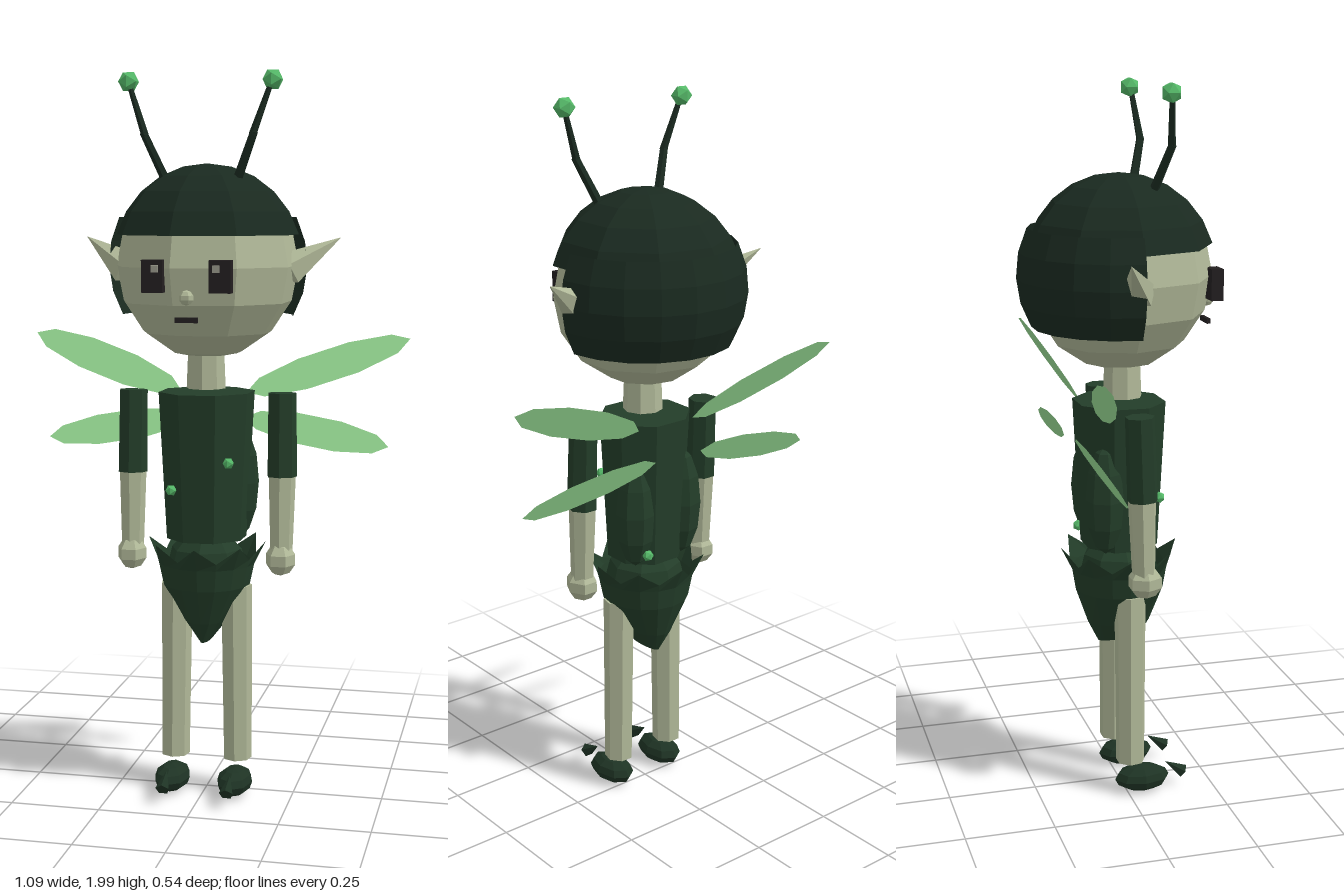
import * as THREE from 'three';

const mat = (name, color, side = THREE.FrontSide) => {
  const m = new THREE.MeshStandardMaterial({ color, flatShading: true, side });
  m.name = name;
  return m;
};

export function createModel() {
  const root = new THREE.Group();
  root.name = 'fairy';
  const skin = mat('paleSkin', 0xb0b898);
  const hair = mat('darkHair', 0x1a2a20, THREE.DoubleSide);
  const leaf = mat('leafGreen', 0x233d29, THREE.DoubleSide);
  const shoe = mat('shoeGreen', 0x1e3324);
  const wing = mat('wingGreen', 0x98dc94, THREE.DoubleSide);
  const bead = mat('beadGreen', 0x55b868);
  const eye = mat('eyeBlack', 0x231f20);
  const glint = mat('eyeGlint', 0x9a9a8c);

  const add = (name, geo, material, x = 0, y = 0, z = 0) => {
    const m = new THREE.Mesh(geo, material);
    m.name = name;
    m.position.set(x, y, z);
    root.add(m);
    return m;
  };
  // Tapered rod from point a to point b
  const rod = (name, a, b, ra, rb, sides, material) => {
    const p = new THREE.Vector3(...a), q = new THREE.Vector3(...b);
    const d = q.clone().sub(p);
    const m = add(name, new THREE.CylinderGeometry(rb, ra, d.length(), sides), material);
    m.position.copy(p).add(q).multiplyScalar(0.5);
    m.quaternion.setFromUnitVectors(new THREE.Vector3(0, 1, 0), d.normalize());
    return m;
  };
  const blob = (name, material, x, y, z, rx, ry, rz, w = 7, h = 5) => {
    const m = add(name, new THREE.SphereGeometry(1, w, h), material, x, y, z);
    m.scale.set(rx, ry, rz);
    return m;
  };

  // Head, hair cap and back hair shell
  add('head', new THREE.SphereGeometry(0.255, 9, 8), skin, 0, 1.485, 0);
  add('hairCap', new THREE.SphereGeometry(0.265, 9, 5, 0, Math.PI * 2, 0, Math.PI * 0.41), hair, 0, 1.495, 0);
  add('backHair', new THREE.SphereGeometry(0.277, 9, 4, Math.PI, Math.PI, Math.PI * 0.35, Math.PI * 0.32), hair, 0, 1.49, 0);
  add('nose', new THREE.SphereGeometry(0.02, 6, 5), skin, 0, 1.41, 0.25);
  add('mouth', new THREE.BoxGeometry(0.06, 0.014, 0.01), eye, 0, 1.352, 0.248);
  rod('neck', [0, 1.15, 0.01], [0, 1.27, 0.01], 0.055, 0.05, 8, skin);

  // Torso with leafy side lobes
  const torso = add('torso', new THREE.CylinderGeometry(0.135, 0.113, 0.41, 8), leaf, 0, 0.935, 0);
  torso.rotation.y = Math.PI / 8;
  torso.scale.z = 0.93;

  // Petal skirt: rings of [y, x radius, z radius], the top one zigzagging
  const rings = [[0.44, 0.015, 0.06], [0.5, 0.062, 0.09], [0.6, 0.122, 0.125], [0.66, 0.135, 0.135], [0.725, 0.167, 0.167]];
  const n = 16, pos = [], idx = [];
  rings.forEach(([y, rx, rz], r) => {
    for (let i = 0; i < n; i++) {
      const a = (i / n) * Math.PI * 2, valley = r === 4 && i % 2;
      const k = valley ? 0.84 : 1;
      pos.push(Math.sin(a) * rx * k, valley ? 0.68 : y, Math.cos(a) * rz * k);
      if (r < 4) {
        const p = r * n + i, q = r * n + (i + 1) % n;
        idx.push(p, q, q + n, p, q + n, p + n);
      }
    }
  });
  for (let i = 1; i < n - 1; i++) idx.push(0, i + 1, i);
  const skirt = new THREE.BufferGeometry();
  skirt.setAttribute('position', new THREE.Float32BufferAttribute(pos, 3));
  skirt.setIndex(idx);
  skirt.computeVertexNormals();
  add('petalSkirt', skirt, leaf);
  blob('hips', leaf, 0, 0.64, 0, 0.115, 0.12, 0.115, 8, 6);

  // Beads on the costume
  for (const [x, y, z] of [[-0.08, 0.875, 0.095], [0.08, 0.955, 0.095], [0.07, 0.765, -0.1]])
    add('costumeBead', new THREE.IcosahedronGeometry(0.016, 0), bead, x, y, z);

  for (const s of [1, -1]) {
    // Face
    add('eye', new THREE.BoxGeometry(0.057, 0.085, 0.034), eye, s * 0.09, 1.465, 0.242);
    add('eyeGlint', new THREE.BoxGeometry(0.018, 0.018, 0.008), glint, s * 0.081, 1.485, 0.263);
    const ear = rod('ear', [s * 0.225, 1.475, -0.005], [s * 0.357, 1.56, -0.065], 0.05, 0.001, 5, skin);
    ear.scale.z = 0.85;

    // Antenna
    rod('antennaBase', [s * 0.1, 1.72, 0.068], [s * 0.15, 1.84, 0.103], 0.013, 0.011, 5, hair);
    rod('antennaStalk', [s * 0.145, 1.83, 0.102], [s * 0.195, 1.975, 0.087], 0.011, 0.007, 5, hair);
    add('antennaBead', new THREE.IcosahedronGeometry(0.029, 0), bead, s * 0.195, 1.973, 0.085);

    // Arm
    rod('sleeve', [s * 0.212, 0.91, 0.008], [s * 0.21, 1.14, 0], 0.042, 0.04, 7, leaf);
    rod('forearm', [s * 0.212, 0.7, 0.012], [s * 0.212, 0.92, 0.006], 0.032, 0.039, 7, skin);
    blob('hand', skin, s * 0.212, 0.68, 0.016, 0.043, 0.047, 0.05, 6, 5);

    // Leg and curled shoe
    rod('leg', [s * 0.09, 0.1, 0.01], [s * 0.085, 0.6, 0.01], 0.041, 0.045, 7, skin);
    blob('shoe', shoe, s * 0.09, 0.043, 0.045, 0.05, 0.038, 0.08, 8, 6);
    rod('shoeTip', [s * 0.09, 0.045, 0.167], [s * 0.09, 0.08, 0.116], 0.02, 0.001, 5, shoe);

    blob('sideLeaf', leaf, s * 0.082, 0.88, -0.06, 0.055, 0.155, 0.055, 7, 6);

    // Wings: flat leaf discs leaning slightly back
    for (const [name, x, y, len, half, tilt] of [
      ['upperWing', 0.318, 1.205, 0.24, 0.05, 0.36],
      ['lowerWing', 0.285, 1.017, 0.21, 0.047, -0.18]]) {
      const w = add(name, new THREE.CircleGeometry(1, 10), wing, s * x, y, -0.127);
      w.scale.set(len, half, 1);
      w.rotation.set(-0.45, 0, s * tilt);
    }
  }
  return root;
}
